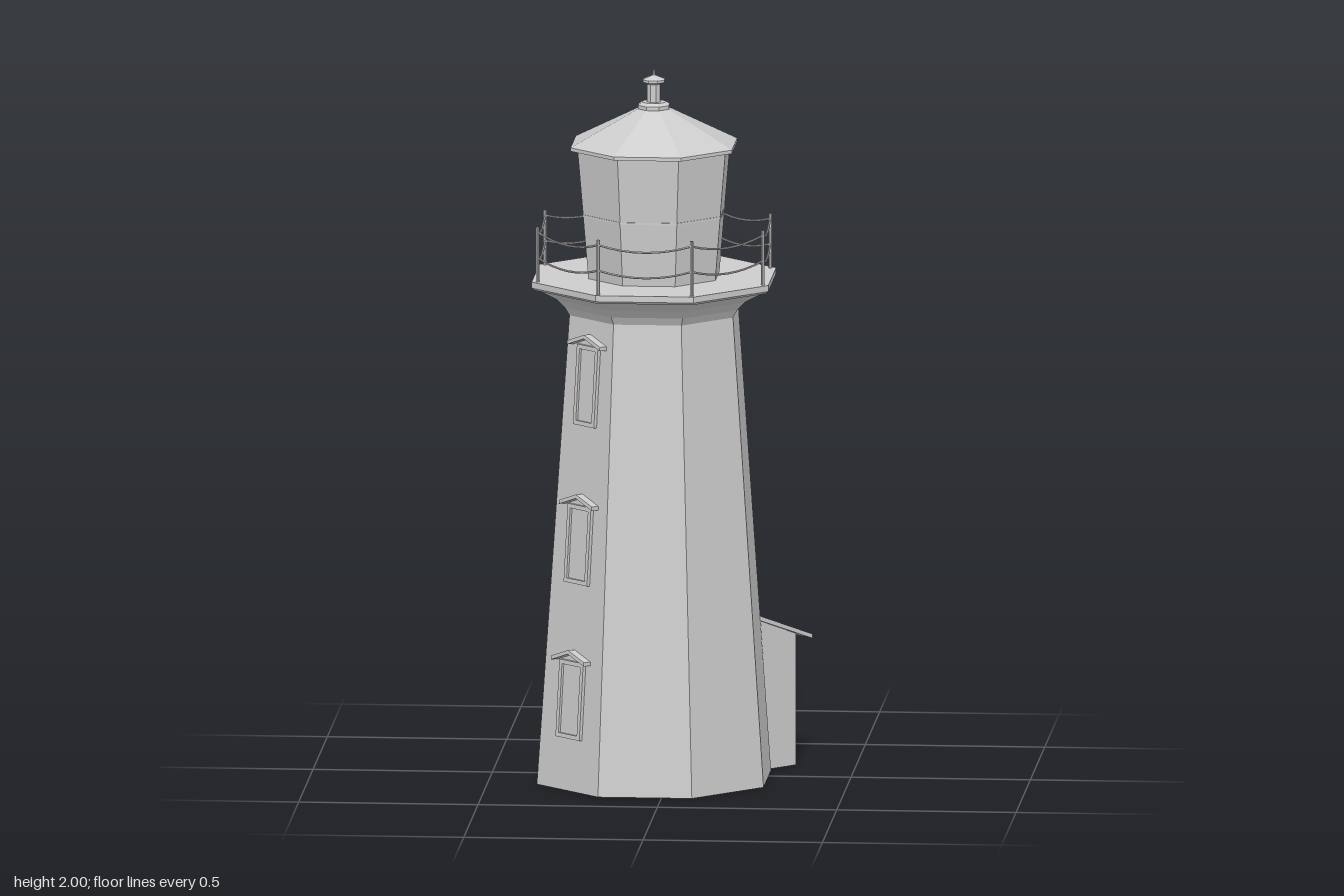
import * as THREE from 'three';

const grey = new THREE.MeshStandardMaterial({ color: 0xcccccc, flatShading: true, side: THREE.DoubleSide });
grey.name = 'pale grey';

const CORNER = 1 / Math.cos(Math.PI / 8); // apothem to corner radius
const HALF = Math.tan(Math.PI / 8);       // apothem to half side length
const BASE = 0.316, NECK = 0.228, NECK_Y = 1.32;
const LEAN = Math.atan((BASE - NECK) / NECK_Y);
const wallAt = (y) => BASE + (NECK - BASE) * y / NECK_Y;

function part(name, geometry, parent, x = 0, y = 0, z = 0) {
  const mesh = new THREE.Mesh(geometry, grey);
  mesh.name = name;
  mesh.position.set(x, y, z);
  parent.add(mesh);
  return mesh;
}

function group(name, parent) {
  const g = new THREE.Group();
  g.name = name;
  parent.add(g);
  return g;
}

// Eight-sided ring profile given as [apothem, height] pairs
function octagon(profile) {
  const points = profile.map(([a, y]) => new THREE.Vector2(a * CORNER, y));
  return new THREE.LatheGeometry(points, 8, Math.PI / 8);
}

function outline(points) {
  return new THREE.Shape(points.map(([x, y]) => new THREE.Vector2(x, y)));
}

function rectangle(w, h) {
  return outline([[-w / 2, -h / 2], [w / 2, -h / 2], [w / 2, h / 2], [-w / 2, h / 2]]);
}

function frame(w, h, border, depth) {
  const shape = rectangle(w, h);
  shape.holes.push(rectangle(w - 2 * border, h - 2 * border));
  return new THREE.ExtrudeGeometry(shape, { depth, bevelEnabled: false });
}

// Tapered tower walls, one of them with a doorway into the porch
function addTower(parent) {
  const tower = group('tower', parent);
  const length = Math.hypot(NECK_Y, BASE - NECK);
  const b = BASE * HALF, t = NECK * HALF;
  for (let i = 0; i < 8; i++) {
    const doorway = i === 3 ? [[-0.112, 0], [-0.112, 0.42], [0.112, 0.42], [0.112, 0]] : [];
    const shape = outline([[-b, 0], ...doorway, [b, 0], [t, length], [-t, length]]);
    const geometry = new THREE.ShapeGeometry(shape);
    geometry.rotateX(-LEAN).translate(0, 0, BASE).rotateY(i * Math.PI / 4);
    part('towerWall', geometry, tower);
  }
}

// Framed window with a small gabled hood, lying on the sloping wall
function addWindow(parent, y, width, height) {
  const win = group('window', parent);
  const r = wallAt(y) * Math.SQRT1_2;
  win.position.set(-r, y, r);
  win.rotation.set(-LEAN, -Math.PI / 4, 0, 'YXZ');
  part('windowFrame', frame(width, height, 0.012, 0.01), win);
  part('windowPane', new THREE.PlaneGeometry(width - 0.02, height - 0.02), win, 0, 0, 0.003);
  const hood = outline([[-0.07, 0], [0, 0.025], [0.07, 0], [0.07, 0.011], [0, 0.036], [-0.07, 0.011]]);
  part('windowHood', new THREE.ExtrudeGeometry(hood, { depth: 0.025, bevelEnabled: false }),
    win, 0, height / 2 - 0.004, 0);
}

// Lean-to porch with a panelled door
function addPorch(parent) {
  const porch = group('porch', parent);
  porch.rotation.y = 3 * Math.PI / 4;
  const side = outline([[BASE, 0], [0.423, 0], [0.423, 0.372], [0.288, 0.424]]);
  for (const s of [-1, 1]) {
    part('porchSide', new THREE.ShapeGeometry(side).rotateY(-Math.PI / 2), porch, s * 0.112);
  }
  part('porchFront', new THREE.PlaneGeometry(0.224, 0.372), porch, 0, 0.186, 0.423);
  const roof = outline([[0.28, 0.427], [0.472, 0.354], [0.472, 0.366], [0.28, 0.44]]);
  part('porchRoof', new THREE.ExtrudeGeometry(roof, { depth: 0.25, bevelEnabled: false })
    .rotateY(-Math.PI / 2), porch, 0.125);

  const surround = outline([[-0.086, 0], [-0.06, 0], [-0.06, 0.315], [0.06, 0.315],
    [0.06, 0], [0.086, 0], [0.086, 0.34], [-0.086, 0.34]]);
  part('doorFrame', new THREE.ExtrudeGeometry(surround, { depth: 0.009, bevelEnabled: false }),
    porch, 0, 0, 0.423);
  part('door', new THREE.BoxGeometry(0.116, 0.308, 0.004), porch, 0, 0.157, 0.425);
  part('doorHandle', new THREE.SphereGeometry(0.006, 8, 6), porch, 0.047, 0.15, 0.433);
}

// Corner posts joined by two sagging ropes per side
function addRailing(parent) {
  const railing = group('railing', parent);
  const R = 0.314 * CORNER;
  const corner = (i, y) => {
    const a = Math.PI / 8 + i * Math.PI / 4;
    return new THREE.Vector3(R * Math.sin(a), y, R * Math.cos(a));
  };
  for (let i = 0; i < 8; i++) {
    const p = corner(i, 1.497);
    part('railPost', new THREE.CylinderGeometry(0.005, 0.005, 0.155, 8), railing, p.x, p.y, p.z);
    for (const y of [1.56, 1.488]) {
      const start = corner(i, y), end = corner(i + 1, y);
      const middle = start.clone().lerp(end, 0.5);
      middle.y -= 0.04;
      const curve = new THREE.QuadraticBezierCurve3(start, middle, end);
      part('railRope', new THREE.TubeGeometry(curve, 8, 0.003, 6), railing);
    }
  }
}

export function createModel() {
  const model = new THREE.Group();
  model.name = 'lighthouse';
  const body = group('lighthouseBody', model);
  body.position.set(-0.046, 0, 0.044);

  addTower(body);
  for (const [y, width, height] of [[0.255, 0.102, 0.217], [0.69, 0.1, 0.22], [1.135, 0.09, 0.225]]) {
    addWindow(body, y, width, height);
  }
  addPorch(body);

  // Flared neck and gallery deck
  part('flaredNeck', octagon([[NECK, NECK_Y], [0.24, 1.342], [0.262, 1.366], [0.3, 1.388], [0.315, 1.396]]), body);
  part('galleryDeck', octagon([[0.17, 1.396], [0.322, 1.396], [0.33, 1.403], [0.33, 1.42], [0, 1.42]]), body);
  addRailing(body);

  // Lantern room widening upward, with a slim sill line
  part('lanternBase', octagon([[0.177, 1.42], [0.191, 1.597]]), body);
  part('lanternSill', octagon([[0.191, 1.596], [0.193, 1.596], [0.193, 1.602], [0.191, 1.602]]), body);
  part('lanternGlazing', octagon([[0.191, 1.6], [0.206, 1.785]]), body);

  // Roof and ventilator
  part('roof', octagon([[0.2, 1.783], [0.225, 1.783], [0.225, 1.793], [0.04, 1.893]]), body);
  part('ventCollar', octagon([[0.04, 1.885], [0.043, 1.892], [0.043, 1.902], [0.032, 1.91], [0.018, 1.91]]), body);
  part('ventPipe', octagon([[0.018, 1.9], [0.018, 1.963]]), body);
  part('ventCap', octagon([[0.018, 1.96], [0.03, 1.966], [0.03, 1.973], [0.004, 1.985], [0.003, 2], [0, 2]]), body);
  return model;
}
